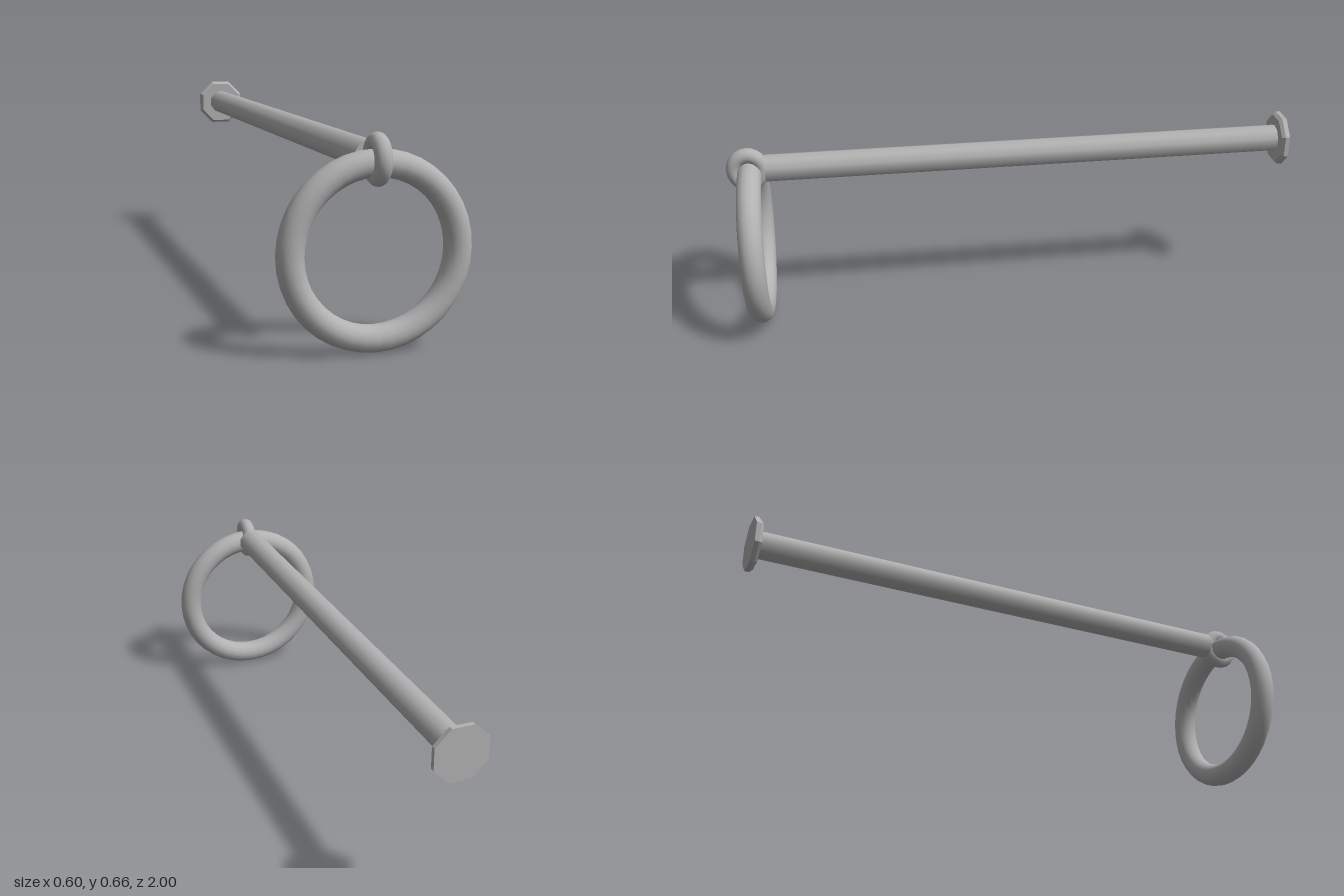
import * as THREE from 'three';

const steel = new THREE.MeshStandardMaterial({ color: 0xb2b2b2 });
steel.name = 'grey steel';

export function createModel() {
  const model = new THREE.Group();
  model.name = 'ringPull';

  const add = (name, geometry, x, y, z) => {
    const mesh = new THREE.Mesh(geometry, steel);
    mesh.name = name;
    mesh.position.set(x, y, z);
    model.add(mesh);
    return mesh;
  };

  // large hanging ring, facing the front
  add('hangingRing', new THREE.TorusGeometry(0.26, 0.042, 16, 40), 0, 0.304, 0.92);

  // small eye across the ring, slightly taller than deep
  const eye = new THREE.TorusGeometry(0.049, 0.0255, 12, 24);
  eye.rotateY(Math.PI / 2);
  eye.scale(1.04, 1.07, 1);
  add('eyeLoop', eye, 0, 0.575, 0.9255);

  // long ten-sided rod with smooth shading
  const rodLength = 1.845;
  const rod = new THREE.CylinderGeometry(0.048, 0.048, rodLength, 10);
  rod.rotateX(Math.PI / 2);
  add('rod', rod, 0, 0.577, -0.98 + rodLength / 2);

  // octagonal end plate with a bevelled front edge and flat faces
  const corner = 1 / Math.cos(Math.PI / 8);
  const profile = [[0, 0], [0.089, 0], [0.089, 0.016], [0.08, 0.027], [0, 0.027]]
    .map(([r, h]) => new THREE.Vector2(r * corner, h));
  const plate = new THREE.LatheGeometry(profile, 8, Math.PI / 8).toNonIndexed();
  plate.computeVertexNormals();
  plate.rotateX(Math.PI / 2);
  add('endPlate', plate, 0, 0.575, -1);

  return model;
}
